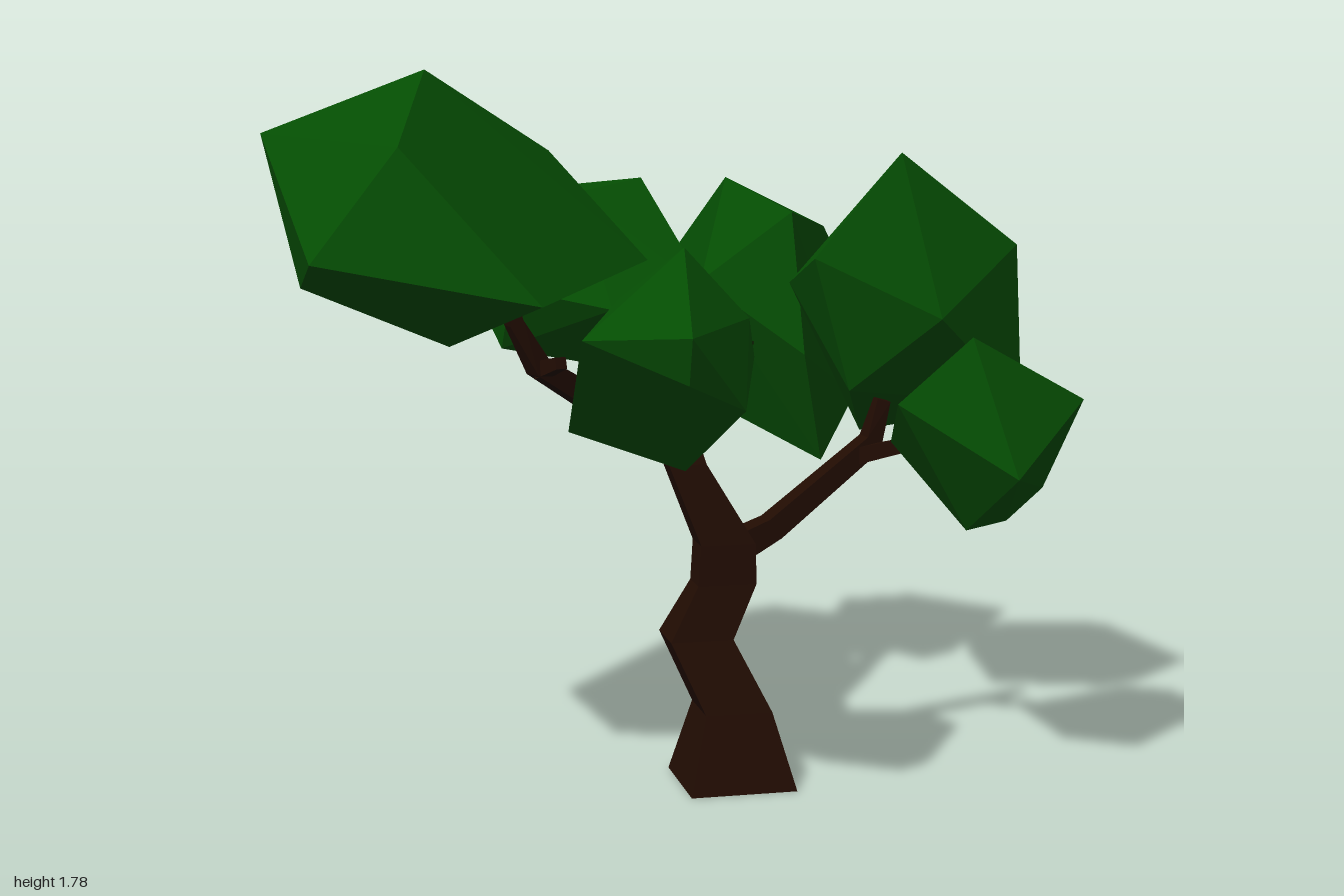
import * as THREE from 'three';
import { ConvexGeometry } from 'three/addons/geometries/ConvexGeometry.js';

const bark = new THREE.MeshStandardMaterial({ color: 0x210c02, flatShading: true });
const leaf = new THREE.MeshStandardMaterial({ color: 0x054e03, flatShading: true });
const V = (x, y, z) => new THREE.Vector3(x, y, z);

// Skin a list of four-cornered rings and close both ends
function loft(rings) {
  const pos = [];
  const quad = (a, b, c, d) => [a, b, c, a, c, d].forEach((p) => pos.push(p.x, p.y, p.z));
  for (let i = 0; i < rings.length - 1; i++) {
    for (let j = 0; j < 4; j++) {
      const k = (j + 1) % 4;
      quad(rings[i][j], rings[i][k], rings[i + 1][k], rings[i + 1][j]);
    }
  }
  quad(...[...rings[0]].reverse());
  quad(...rings[rings.length - 1]);
  const g = new THREE.BufferGeometry();
  g.setAttribute('position', new THREE.Float32BufferAttribute(pos, 3));
  g.computeVertexNormals();
  return g;
}

// Horizontal rectangular section of the trunk
const section = ([x, y, z, hx, hz]) => [
  V(x - hx, y, z + hz), V(x + hx, y, z + hz), V(x + hx, y, z - hz), V(x - hx, y, z - hz),
];

// Tapered square branch through the given points, each [x, y, z, radius]
function branch(path) {
  const pts = path.map((p) => V(p[0], p[1], p[2]));
  return loft(pts.map((p, i) => {
    const t = pts[Math.min(i + 1, pts.length - 1)].clone().sub(pts[Math.max(i - 1, 0)]).normalize();
    const side = V(-t.z, 0, t.x).normalize();
    const up = t.clone().cross(side);
    return [0, 1, 2, 3].map((j) => {
      const a = (j + 0.5) * Math.PI / 2;
      return p.clone()
        .addScaledVector(side, Math.cos(a) * path[i][3])
        .addScaledVector(up, Math.sin(a) * path[i][3]);
    });
  }));
}

// Trunk sections: x, y, z, half width, half depth
const trunk = [
  [0.14, 0, 0.26, 0.135, 0.132],
  [0.14, 0.19, 0.255, 0.085, 0.077],
  [0.06, 0.365, 0.2, 0.08, 0.07],
  [0.13, 0.5, 0.2, 0.075, 0.045],
  [0.135, 0.6, 0.187, 0.07, 0.048],
  [0.04, 0.8, 0.15, 0.048, 0.042],
  [0.015, 0.885, 0.125, 0.05, 0.038],
];

const branches = {
  lowerBranch: [[0.13, 0.57, 0.19, 0.055], [0.26, 0.63, 0.18, 0.042], [0.53, 0.83, 0.14, 0.036], [0.56, 0.94, 0.14, 0.025]],
  lowerTwig: [[0.5, 0.8, 0.15, 0.03], [0.6, 0.84, 0.24, 0.025], [0.65, 0.85, 0.3, 0.02]],
  rightBranch: [[0.02, 0.84, 0.13, 0.045], [0.07, 0.9, 0.02, 0.045], [0.21, 1.03, -0.27, 0.04], [0.34, 1.01, -0.38, 0.025]],
  backTwig: [[0.21, 1.03, -0.27, 0.035], [0.12, 1.11, -0.33, 0.028], [0.06, 1.16, -0.37, 0.02]],
  leftBranch: [[0.02, 0.85, 0.13, 0.045], [-0.12, 0.92, 0.19, 0.045], [-0.36, 1.08, 0.32, 0.035], [-0.42, 1.19, 0.335, 0.026], [-0.44, 1.27, 0.34, 0.022]],
  frontTwig: [[-0.35, 1.07, 0.31, 0.03], [-0.32, 1.1, 0.41, 0.02]],
};

// Corner points of each faceted leaf clump
const clumps = {
  largeLeftFoliage: [
    [-0.59, 1.78, 0.06], [-1, 1.64, 0.23], [-0.71, 1.62, 0.5], [-0.23, 1.56, -0.25],
    [-0.59, 1.46, -0.38], [-0.03, 1.3, 0.04], [-0.4, 1.26, 0.62], [-0.92, 1.36, 0.55],
    [-0.9, 1.25, 0.04], [-0.55, 1.11, 0.15], [-0.27, 1.2, -0.1],
  ],
  largeRightFoliage: [
    [0.59, 1.57, 0.18], [0.67, 1.16, 0.28], [0.91, 1.33, 0.15], [1, 1.08, -0.43],
    [0.95, 0.91, 0.1], [0.7, 1.08, -0.54], [0.39, 1.3, 0.1], [0.42, 1.2, -0.25],
    [0.47, 1.2, -0.38], [0.74, 1.38, -0.33], [0.66, 0.77, -0.38], [0.5, 0.95, 0.05],
  ],
  smallRightFoliage: [
    [0.66, 1.15, 0.54], [0.97, 0.98, 0.48], [0.95, 0.98, 0.27], [0.93, 0.73, 0.32],
    [0.85, 0.64, 0.28], [0.68, 0.66, 0.46], [0.74, 0.82, 0.66], [0.48, 0.99, 0.52],
    [0.55, 0.85, 0.25], [0.79, 1.05, 0.23], [0.76, 0.82, 0.2],
  ],
  smallLeftFoliage: [
    [-0.07, 1.39, 0.62], [-0.35, 1.21, 0.83], [-0.12, 1.22, 0.92], [-0.12, 1.11, 0.89],
    [0.09, 1.22, 0.6], [0.1, 1.13, 0.61], [0.07, 1.17, 0.42], [-0.06, 1.15, 0.4],
    [-0.18, 1.25, 0.41], [-0.32, 0.95, 0.5], [-0.08, 0.88, 0.68], [0, 0.95, 0.52], [0.04, 1.03, 0.77],
  ],
  backLeftFoliage: [
    [0.06, 1.47, -0.46], [-0.17, 1.43, -0.7], [-0.17, 1.32, -0.75], [-0.42, 1.25, -0.62],
    [0.06, 1.2, -0.6], [0.19, 1.18, -0.2], [0.13, 1.08, -0.35], [-0.08, 1.15, -0.16],
    [-0.33, 1.2, -0.26], [-0.34, 1.03, -0.36], [-0.13, 1.44, -0.38], [0, 0.96, -0.38],
  ],
  backRightFoliage: [
    [0.32, 1.46, -0.56], [0.22, 1.19, -0.88], [0.45, 0.94, -0.92], [0.45, 1.2, -0.89],
    [0.71, 1.15, -0.66], [0.23, 0.86, -0.65], [0.55, 0.69, -0.38], [0.22, 1.19, -0.43],
    [0.45, 1.38, -0.34], [0.47, 1, -0.27], [0.68, 0.85, -0.5], [0.6, 1.32, -0.55],
  ],
};

export function createModel() {
  const tree = new THREE.Group();
  tree.name = 'tree';
  const add = (name, geometry, material) => {
    const mesh = new THREE.Mesh(geometry, material);
    mesh.name = name;
    tree.add(mesh);
  };
  add('trunk', loft(trunk.map(section)), bark);
  for (const [name, path] of Object.entries(branches)) add(name, branch(path), bark);
  for (const [name, pts] of Object.entries(clumps)) {
    add(name, new ConvexGeometry(pts.map((p) => V(...p))), leaf);
  }
  return tree;
}
